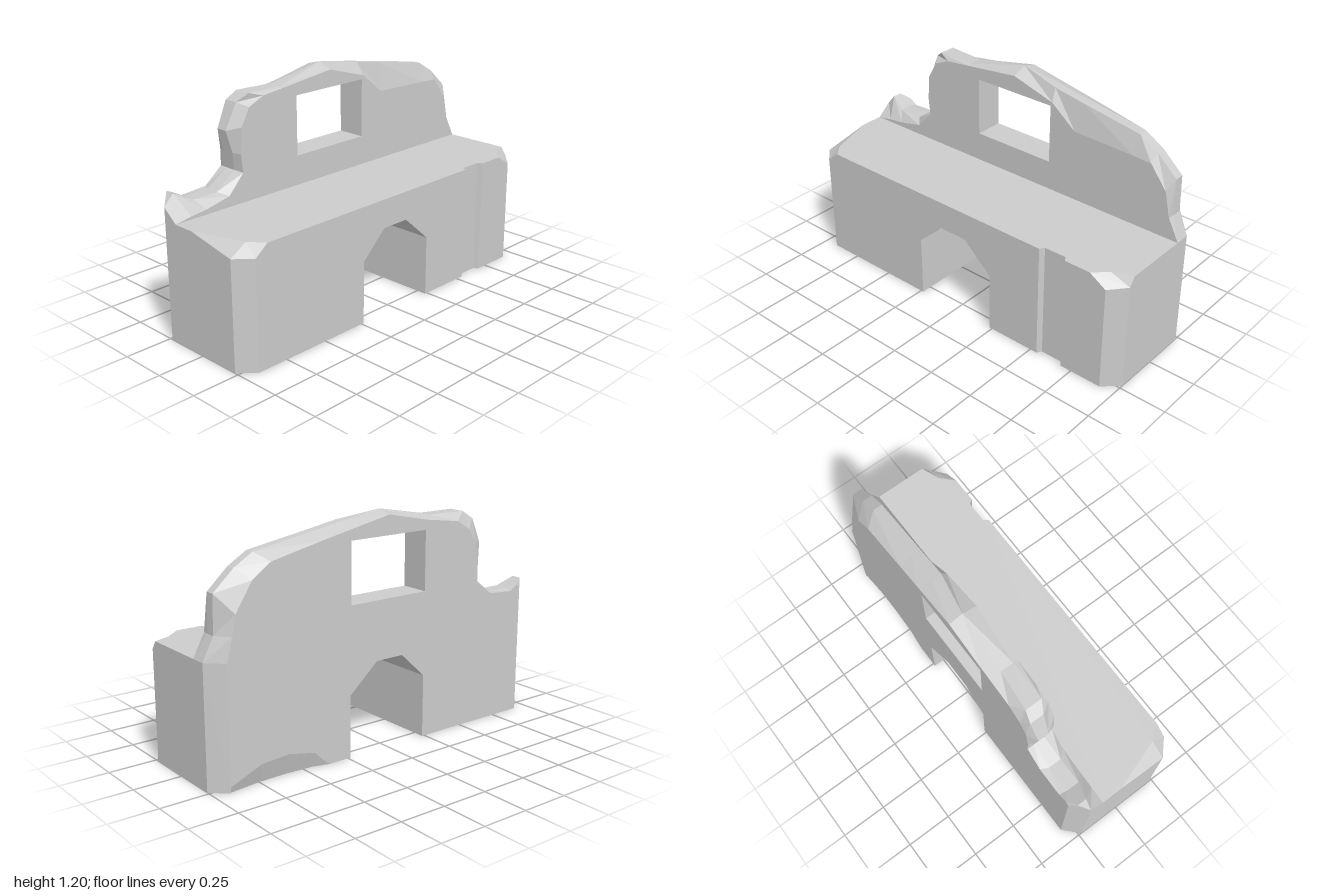
import * as THREE from 'three';

const LEFT = -0.31, INNER = -0.155, RIGHT = 0.305, DECK = 0.615;

const material = new THREE.MeshStandardMaterial({
  color: 0xcccccc, flatShading: true, side: THREE.DoubleSide,
});

function mesh(name, geometry) {
  const m = new THREE.Mesh(geometry, material);
  m.name = name;
  return m;
}

// Surface through rows of [x, y, z] points
function skin(rows) {
  const pos = [];
  for (let i = 0; i < rows.length - 1; i++) {
    for (let j = 0; j < rows[i].length - 1; j++) {
      const a = rows[i][j], b = rows[i][j + 1], c = rows[i + 1][j], d = rows[i + 1][j + 1];
      pos.push(...a, ...c, ...b, ...b, ...c, ...d);
    }
  }
  const g = new THREE.BufferGeometry();
  g.setAttribute('position', new THREE.Float32BufferAttribute(pos, 3));
  g.computeVertexNormals();
  return g;
}

// Flat face from a 2D outline with an optional hole
function flat(outline, hole) {
  const toVec = ([u, v]) => new THREE.Vector2(u, v);
  const shape = new THREE.Shape(outline.map(toVec));
  if (hole) shape.holes.push(new THREE.Path(hole.map(toVec)));
  return new THREE.ShapeGeometry(shape);
}

// Openings and the broken foot of the left face, as [z, y]
const arch = [[0.235, 0], [0.235, 0.33], [0.09, 0.465], [-0.07, 0.465], [-0.235, 0.32], [-0.235, 0]];
const opening = [[0.235, 0.77], [0.235, 1.08], [-0.23, 1.08], [-0.23, 0.77]];
const chip = [[-0.36, 0], [-0.4, 0.03], [-0.45, 0.08], [-0.6, 0.11], [-0.75, 0.1], [-0.92, 0.03]];

// Crumbled rim: outer z, y | crest z, y, x from, x to | inner z, y
const rim = [
  [0.92, 0.69, 1, 0.68, -0.235, -0.235, 1, DECK],
  [0.9, 0.71, 0.95, 0.735, -0.28, -0.23, 0.91, 0.63],
  [0.85, 0.68, 0.86, 0.69, -0.27, -0.2, 0.82, 0.64],
  [0.7, 0.69, 0.72, 0.69, -0.27, -0.2, 0.68, 0.67],
  [0.6, 0.77, 0.6, 0.77, -0.27, -0.21, 0.59, 0.765],
  [0.6, 0.86, 0.615, 0.86, -0.27, -0.2, 0.6, 0.86],
  [0.58, 0.98, 0.635, 0.97, -0.28, -0.22, 0.59, 0.99],
  [0.53, 1.05, 0.575, 1.1, -0.285, -0.21, 0.54, 1.08],
  [0.45, 1.1, 0.52, 1.14, -0.27, -0.18, 0.45, 1.12],
  [0.24, 1.13, 0.31, 1.14, -0.25, -0.18, 0.31, 1.135],
  [0, 1.18, 0, 1.2, -0.235, -0.235, 0, 1.17],
  [-0.25, 1.13, -0.23, 1.165, -0.24, -0.19, -0.24, 1.1],
  [-0.4, 1.1, -0.4, 1.135, -0.24, -0.19, -0.38, 0.99],
  [-0.68, 1.04, -0.73, 1.08, -0.24, -0.19, -0.72, 0.98],
  [-0.78, 0.97, -0.83, 1.02, -0.24, -0.19, -0.82, 0.975],
  [-0.87, 0.83, -0.94, 0.92, -0.24, -0.19, -0.91, 0.86],
  [-0.89, 0.73, -0.945, 0.73, -0.24, -0.19, -0.94, 0.73],
  [-0.92, DECK, -1, DECK, -0.235, -0.19, -1, DECK],
];

// Outside of the base, walked from the front left corner: x, z, top, bottom
const perimeter = [
  [LEFT, 0.92, 0.69, 0], [-0.235, 1, 0.68, 0], [INNER, 1, DECK, 0], [-0.04, 1, DECK, 0],
  [0.23, 1, 0.56, 0], [RIGHT, 0.92, 0.56, 0], [RIGHT, 0.85, DECK, 0],
  ...arch.map(([z, y]) => [RIGHT, z, DECK, y]),
  [RIGHT, -0.54, DECK, 0], [0.28, -0.555, DECK, 0], [0.28, -0.675, DECK, 0], [RIGHT, -0.69, DECK, 0],
  [RIGHT, -0.83, DECK, 0], [RIGHT, -0.92, 0.56, 0], [0.23, -1, 0.57, 0], [0.2, -1, DECK, 0],
  [INNER, -1, DECK, 0], [-0.235, -1, DECK, 0], [LEFT, -0.92, DECK, 0], [LEFT, -0.92, 0.03, 0],
];

// Walking surface, as [x, z]
const deck = [
  [INNER, 1], [-0.04, 1], [0.23, 0.91], [RIGHT, 0.85], [RIGHT, -0.54], [0.28, -0.555],
  [0.28, -0.675], [RIGHT, -0.69], [RIGHT, -0.83], [0.24, -0.9], [0.2, -1], [INNER, -1],
];

export function createModel() {
  const group = new THREE.Group();
  group.name = 'ruinedWall';

  // Hollow base, open underneath
  group.add(mesh('baseWalls', skin(perimeter.map(([x, z, top, bottom]) => [[x, bottom, z], [x, top, z]]))));
  group.add(mesh('archTunnel', skin(arch.map(([z, y]) => [[LEFT, y, z], [RIGHT, y, z]]))));
  const deckFace = flat(deck.map(([x, z]) => [x, -z])).rotateX(-Math.PI / 2).translate(0, DECK, 0);
  group.add(mesh('deck', deckFace));

  // Worn corners of the deck
  group.add(mesh('frontCornerBevel', skin([
    [[-0.04, DECK, 1], [-0.04, DECK, 1]],
    [[0.23, 0.56, 1], [0.23, DECK, 0.91]],
    [[RIGHT, 0.56, 0.92], [RIGHT, DECK, 0.85]],
  ])));
  group.add(mesh('backCornerBevel', skin([
    [[RIGHT, 0.56, -0.92], [RIGHT, DECK, -0.83]],
    [[0.23, 0.57, -1], [0.24, DECK, -0.9]],
    [[0.2, DECK, -1], [0.2, DECK, -1]],
  ])));

  // Tall outer face with arch, window and chipped foot
  const outerOutline = [...rim.map((r) => [r[0], r[1]]), ...[...chip].reverse(), ...[...arch].reverse(), [0.92, 0]];
  group.add(mesh('outerFace', flat(outerOutline, opening).rotateY(-Math.PI / 2).translate(LEFT, 0, 0)));
  group.add(mesh('chippedFoot', skin(chip.map(([z, y]) => [[LEFT + y * 0.3, 0, z], [LEFT, y, z]]))));

  // Parapet inner face, window reveal and crumbled rim
  const innerOutline = rim.map((r) => [-r[6], r[7]]);
  const innerHole = opening.map(([z, y]) => [-z, y]);
  group.add(mesh('innerFace', flat(innerOutline, innerHole).rotateY(Math.PI / 2).translate(INNER, 0, 0)));
  group.add(mesh('windowReveal', skin([...opening, opening[0]].map(([z, y]) => [[LEFT, y, z], [INNER, y, z]]))));
  group.add(mesh('crumbledRim', skin(rim.map(([zo, yo, zc, yc, x0, x1, zi, yi]) => [
    [INNER, yi, zi], [x1, yc, zc], [x0, yc, zc], [LEFT, yo, zo],
  ]))));

  return group;
}
